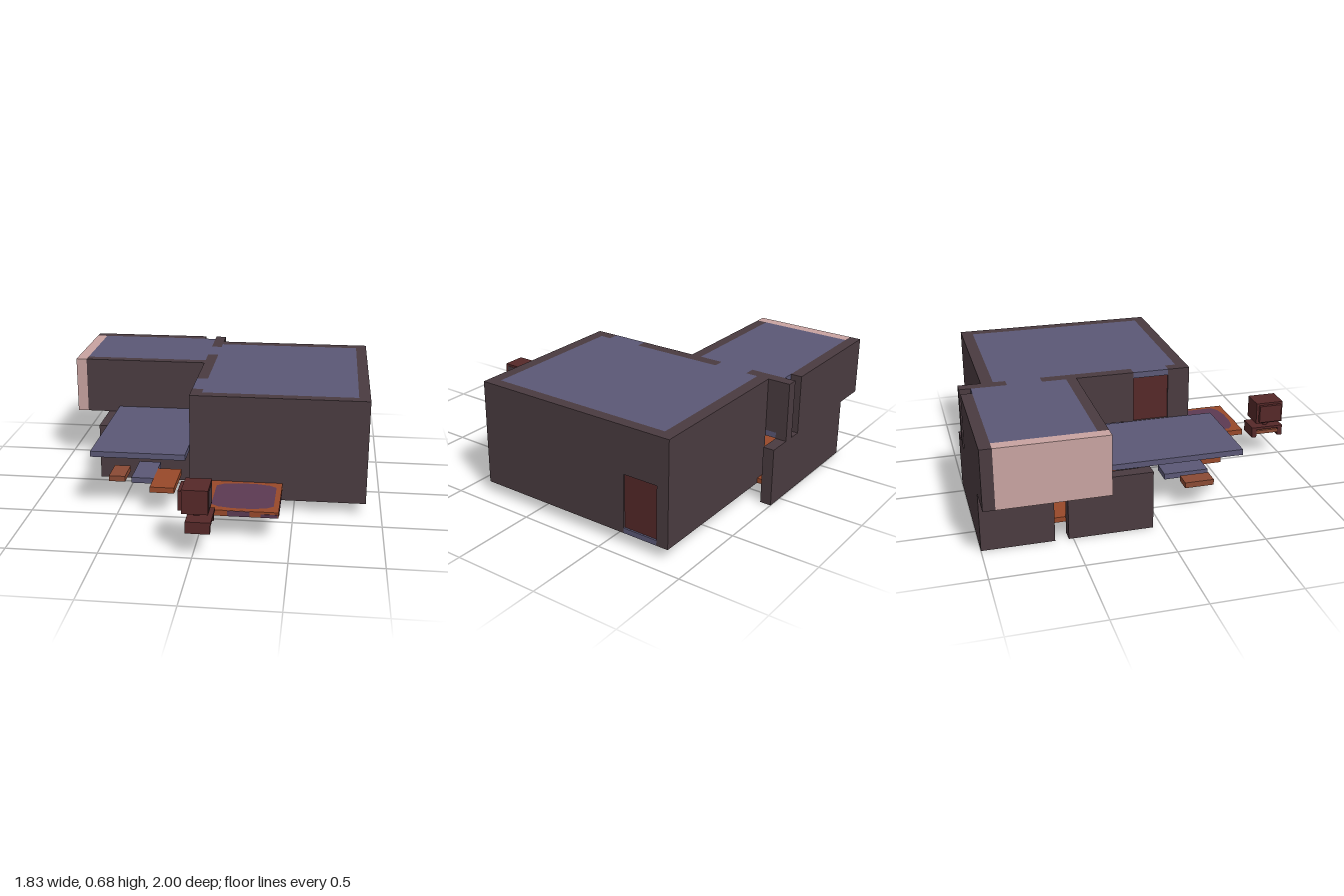
import * as THREE from 'three';

const paint = (name, color) => {
  const m = new THREE.MeshStandardMaterial({ color });
  m.name = name;
  return m;
};

export function createModel() {
  const wall = paint('dark plum wall', 0x4a3b40);
  const slate = paint('slate blue', 0x5b5876);
  const pink = paint('pale pink', 0xc8a3a1);
  const maroon = paint('maroon', 0x552828);
  const orange = paint('burnt orange', 0x98492a);
  const brown = paint('warm brown', 0x8a4a34);
  const purple = paint('dull purple', 0x5c3a52);

  const house = new THREE.Group();
  house.name = 'house';
  const group = (name) => {
    const g = new THREE.Group();
    g.name = name;
    house.add(g);
    return g;
  };
  // Box given by its limits on each axis
  const box = (parent, name, mat, [x0, x1], [y0, y1], [z0, z1]) => {
    const mesh = new THREE.Mesh(new THREE.BoxGeometry(x1 - x0, y1 - y0, z1 - z0), mat);
    mesh.position.set((x0 + x1) / 2, (y0 + y1) / 2, (z0 + z1) / 2);
    mesh.name = name;
    parent.add(mesh);
  };

  // Main room: outer walls with a side doorway
  const main = group('mainRoom');
  const full = [0.07, 0.68];
  box(main, 'frontWall', wall, [-0.1, 0.91], full, [0.285, 0.35]);
  box(main, 'backWall', wall, [-0.035, 0.91], full, [-0.87, -0.8]);
  box(main, 'sideWallFront', wall, [0.845, 0.91], full, [-0.595, 0.285]);
  box(main, 'sideWallLintel', wall, [0.845, 0.91], [0.41, 0.68], [-0.8, -0.595]);
  box(main, 'sideDoor', maroon, [0.87, 0.9], [0.1, 0.41], [-0.8, -0.595]);

  // Partition wall, with two upper doorways
  const part = [-0.1, -0.035];
  box(main, 'partitionBack', wall, part, [0.375, 0.68], [-1, -0.73]);
  box(main, 'partitionEndFoot', wall, part, [0.34, 0.375], [-1, -0.935]);
  box(main, 'partitionMiddle', wall, part, [0.375, 0.68], [-0.53, 0.01]);
  box(main, 'partitionFront', wall, part, [0.34, 0.68], [0.22, 0.285]);
  box(main, 'partitionLower', wall, part, [0.07, 0.34], [-0.05, 0.285]);
  box(main, 'partitionSill', wall, part, [0.34, 0.375], [-0.05, 0.22]);
  box(main, 'balconyDoor', maroon, [-0.09, -0.06], [0.375, 0.645], [0.01, 0.22]);

  // Floors and roofs, filling the doorway gaps at the top
  box(main, 'mainFloor', slate, [0.03, 0.845], [0.07, 0.1], [-0.8, 0.285]);
  box(main, 'mainFloorCorner', slate, [-0.035, 0.03], [0.07, 0.1], [-0.05, 0.285]);
  box(main, 'doorThreshold', slate, [0.845, 0.91], [0.07, 0.1], [-0.8, -0.595]);
  box(main, 'mainRoof', slate, [-0.035, 0.845], [0.645, 0.68], [-0.8, 0.285]);
  for (const z of [[-0.73, -0.53], [0.01, 0.22]]) box(main, 'doorwayRoof', slate, part, [0.645, 0.68], z);

  // Upper wing overhanging the lower room
  const wing = group('upperWing');
  const upper = [0.34, 0.68];
  box(wing, 'wingBackWall', wall, [-0.915, -0.17], upper, [-1, -0.935]);
  box(wing, 'wingFrontWall', wall, [-0.85, -0.1], upper, [-0.39, -0.33]);
  box(wing, 'pinkEndWall', pink, [-0.915, -0.85], upper, [-0.935, -0.33]);
  box(wing, 'wingRoof', slate, [-0.85, -0.1], [0.645, 0.68], [-0.935, -0.39]);
  box(wing, 'wingFloor', slate, [-0.645, -0.035], [0.342, 0.375], [-0.935, -0.33]);
  box(wing, 'overhangFloor', slate, [-0.85, -0.645], [0.342, 0.375], [-0.935, -0.39]);
  box(wing, 'balconySlab', slate, [-0.645, -0.105], [0.342, 0.375], [-0.33, 0.49]);

  // Lower room and footings
  const lower = group('lowerRoom');
  const low = [0, 0.34];
  box(lower, 'lowerBackWall', wall, [-0.715, 0.1], low, [-1, -0.935]);
  box(lower, 'lowerSideWallBack', wall, [-0.715, -0.645], low, [-0.935, -0.6]);
  box(lower, 'lowerSideWallFront', wall, [-0.715, -0.645], low, [-0.525, -0.05]);
  box(lower, 'lowerFrontWall', wall, [-0.645, -0.1], low, [-0.115, -0.05]);
  box(lower, 'lowerFrontFooting', wall, [-0.1, 0.035], [0, 0.07], [-0.115, -0.05]);
  box(lower, 'lowerFloor', orange, [-0.645, 0.03], [0.07, 0.1], [-0.935, -0.115]);
  box(lower, 'footingBeam', wall, [0.035, 0.165], [0, 0.07], [-0.525, 0.29]);

  // Low furniture under the balcony
  const seats = group('patioFurniture');
  const seatY = [0.14, 0.173];
  box(seats, 'stool', brown, [-0.575, -0.48], seatY, [0.18, 0.35]);
  box(seats, 'slateBench', slate, [-0.44, -0.31], seatY, [0.1, 0.36]);
  box(seats, 'orangeBench', orange, [-0.31, -0.17], seatY, [0.2, 0.49]);

  // Low platform with a rounded purple cover
  const bed = group('platform');
  box(bed, 'platformFrame', orange, [0.03, 0.435], [0.14, 0.173], [0.35, 0.76]);
  const s = new THREE.Shape();
  const pts = [[0.17, 0.13], [0.13, 0.16], [0.05, 0.175]];
  const corner = [...pts, ...pts.map(([x, y]) => [-x, y]).reverse()];
  s.setFromPoints([...corner, ...corner.map(([x, y]) => [-x, -y])].map(([x, y]) => new THREE.Vector2(x, y)));
  for (const [y, dir] of [[0.175, -1], [0.139, 1]]) {
    const cover = new THREE.Mesh(new THREE.ShapeGeometry(s), purple);
    cover.rotation.x = (dir * Math.PI) / 2;
    cover.position.set(0.235, y, 0.555);
    cover.name = 'purpleCover';
    bed.add(cover);
  }
  box(bed, 'frontPatch', purple, [0.16, 0.28], [0.141, 0.172], [0.758, 0.763]);
  box(bed, 'frontCornerPatch', purple, [0.34, 0.43], [0.141, 0.16], [0.758, 0.763]);
  box(bed, 'sidePatch', purple, [0.433, 0.437], [0.141, 0.163], [0.47, 0.73]);

  // Screen on a small stand
  const desk = group('screenStand');
  box(desk, 'deskTop', maroon, [-0.035, 0.1], [0.19, 0.205], [0.8, 1]);
  for (const z of [[0.8, 0.83], [0.97, 1]]) box(desk, 'deskLeg', maroon, [-0.035, 0.095], [0.14, 0.19], z);
  box(desk, 'deskShelf', brown, [-0.03, 0.09], [0.158, 0.18], [0.83, 0.97]);
  box(desk, 'screenNeck', maroon, [0, 0.03], [0.205, 0.245], [0.885, 0.915]);
  box(desk, 'screenCase', maroon, [-0.055, 0.085], [0.242, 0.375], [0.815, 0.985]);
  box(desk, 'screenBack', maroon, [-0.075, -0.055], [0.255, 0.362], [0.83, 0.97]);
  box(desk, 'screenFace', wall, [0.083, 0.087], [0.255, 0.362], [0.83, 0.97]);

  return house;
}
